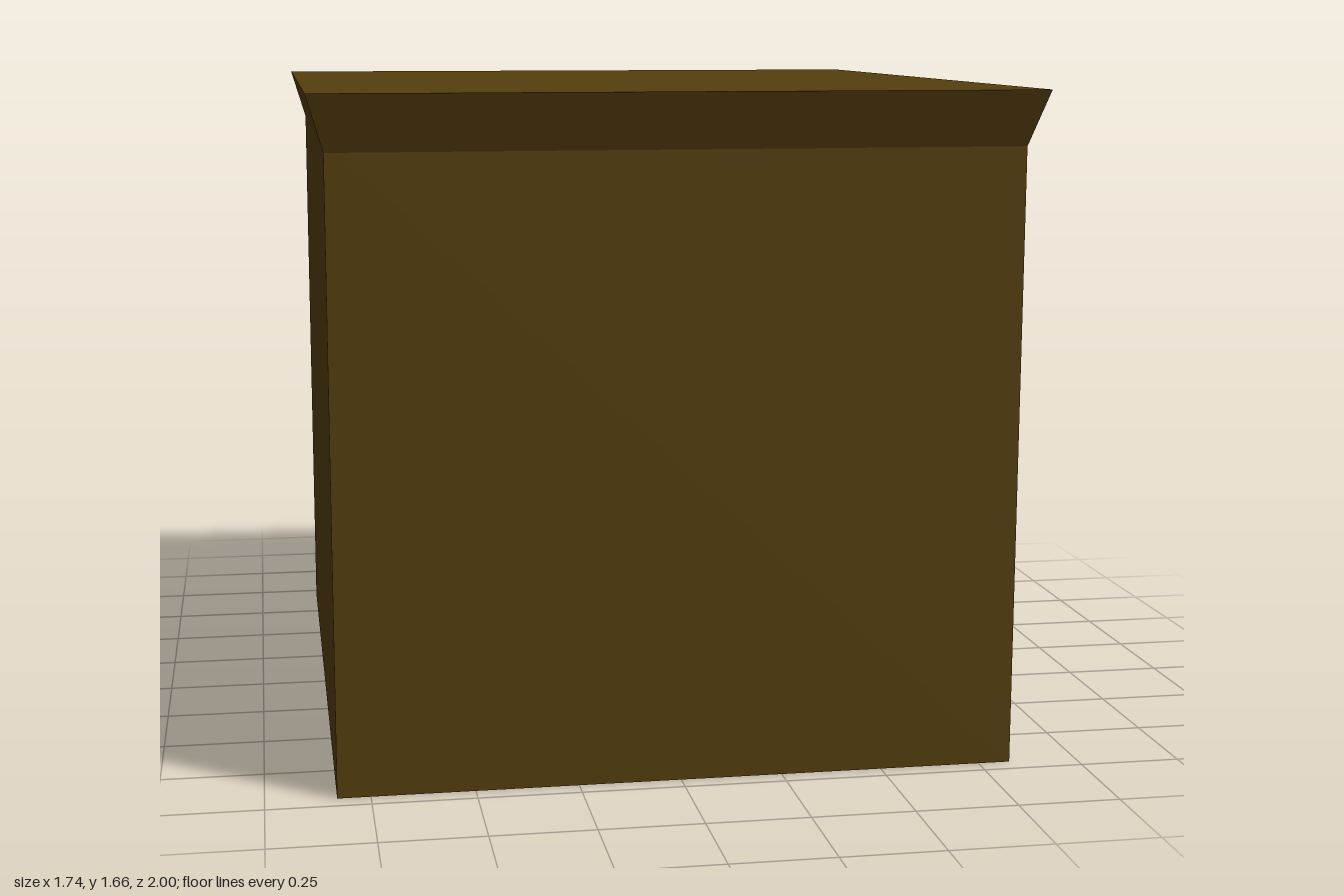
import * as THREE from 'three';

const wood = new THREE.MeshStandardMaterial({ color: 0x553f0e, flatShading: true });
const brass = new THREE.MeshStandardMaterial({ color: 0x75620c, flatShading: true });

// Four walls between two rectangles [u0, u1, y0, y1, w], with one end closed.
function sleeve(a, b, cap) {
  const ring = ([u0, u1, y0, y1, w]) =>
    [[u0, y0, w], [u1, y0, w], [u1, y1, w], [u0, y1, w]];
  const A = ring(a), B = ring(b), pos = [];
  const quad = (p, q, r, s) => pos.push(...p, ...q, ...r, ...p, ...r, ...s);
  for (let i = 0; i < 4; i++) {
    const j = (i + 1) % 4;
    quad(A[i], A[j], B[j], B[i]);
  }
  if (cap === 'start') quad(A[3], A[2], A[1], A[0]);
  else quad(...B);
  const g = new THREE.BufferGeometry();
  g.setAttribute('position', new THREE.Float32BufferAttribute(pos, 3));
  g.computeVertexNormals();
  return g;
}

export function createModel() {
  const model = new THREE.Group();
  model.name = 'drawerCabinet';
  // Built with the drawers towards +z, then turned to face +x.
  const cabinet = new THREE.Group();
  cabinet.name = 'cabinet';
  cabinet.rotation.y = Math.PI / 2;
  model.add(cabinet);

  const add = (name, geometry, material = wood) => {
    const mesh = new THREE.Mesh(geometry, material);
    mesh.name = name;
    cabinet.add(mesh);
    return mesh;
  };

  const W = 0.95, D = 0.83, bodyTop = 1.56;
  const lidBase = 1.525, lidTop = 1.66;

  // Drawer openings, recess depth and taper, and handle rectangles
  const drawers = [
    { name: 'upperDrawer', y0: 0.81, y1: lidBase, depth: 0.05, inset: 0, handle: [-0.16, 0.155, 1.13, 1.22] },
    { name: 'lowerDrawer', y0: 0.055, y1: 0.72, depth: 0.067, inset: 0.014, handle: [-0.155, 0.15, 0.355, 0.45] },
  ];
  const u0 = -0.86, u1 = 0.835;

  // Sides, bottom and back; the top edge is tucked into the lid
  add('carcass', sleeve([-W, W, 0, bodyTop, -D], [-W, W, 0, bodyTop, D], 'start'));

  // Face frame with the two openings
  const face = new THREE.Shape([[-W, 0], [W, 0], [W, bodyTop], [-W, bodyTop]].map(p => new THREE.Vector2(...p)));
  for (const { y0, y1 } of drawers) {
    face.holes.push(new THREE.Path([[u0, y0], [u0, y1], [u1, y1], [u1, y0]].map(p => new THREE.Vector2(...p))));
  }
  add('faceFrame', new THREE.ShapeGeometry(face)).position.z = D;

  // Recessed drawer fronts and their block handles
  for (const { name, y0, y1, depth, inset, handle } of drawers) {
    const back = D - depth;
    add(name, sleeve(
      [u0, u1, y0, y1, D],
      [u0 + inset, u1 - inset, y0 + inset / 2, y1 - inset / 2, back], 'end'));
    const [a, b, c, d] = handle;
    add(name + 'Handle', new THREE.BoxGeometry(b - a, d - c, 0.045), brass)
      .position.set((a + b) / 2, (c + d) / 2, back + 0.0225);
  }

  // Lid flaring outwards to the top
  const lid = new THREE.BoxGeometry(2, lidTop - lidBase, 1.74);
  const p = lid.attributes.position;
  for (let i = 0; i < p.count; i++) {
    if (p.getY(i) < 0) {
      p.setX(i, Math.sign(p.getX(i)) * W);
      p.setZ(i, Math.sign(p.getZ(i)) * D);
    }
  }
  lid.computeVertexNormals();
  add('lid', lid).position.y = (lidBase + lidTop) / 2;

  return model;
}
